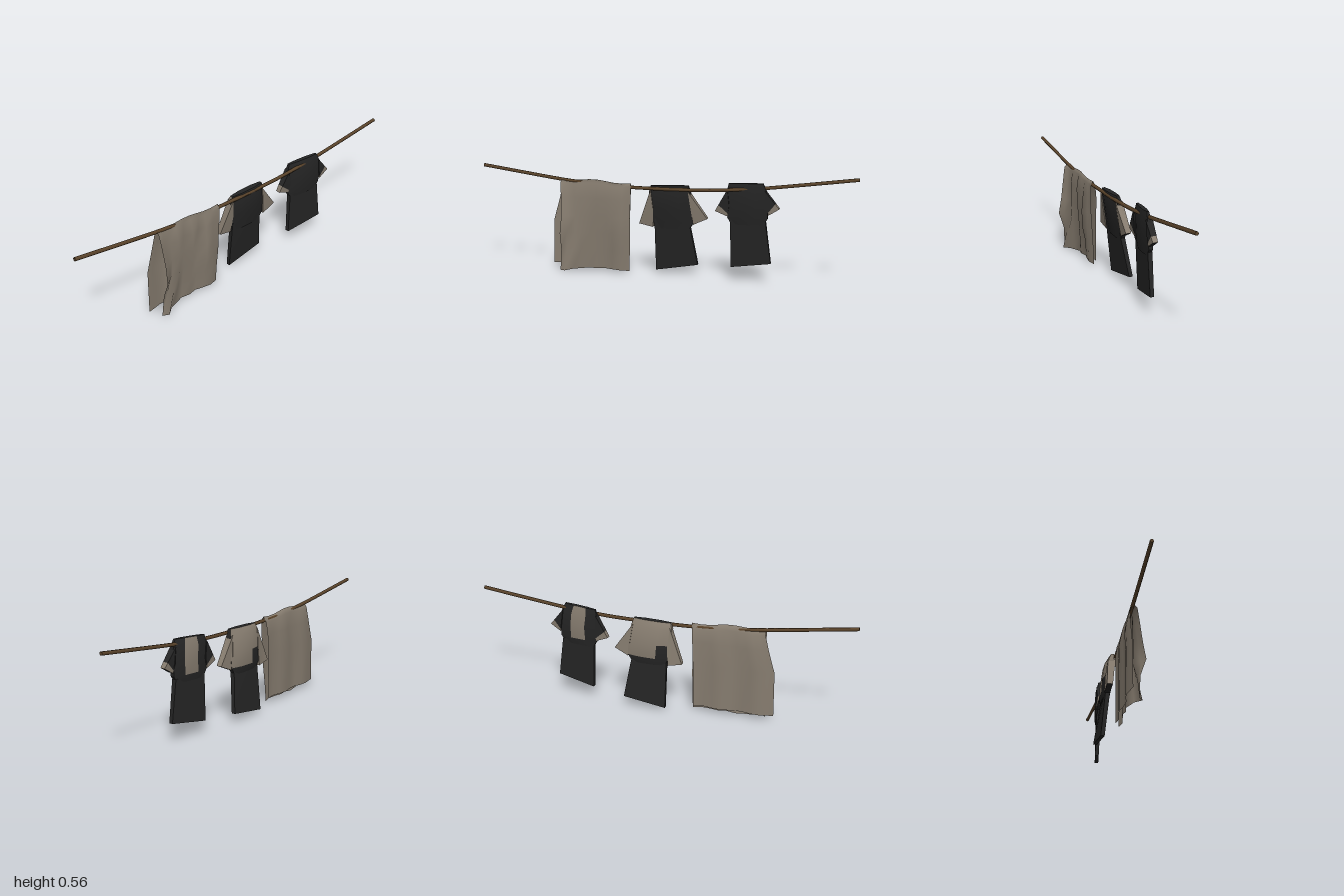
import * as THREE from 'three';
import { toCreasedNormals } from 'three/addons/utils/BufferGeometryUtils.js';

const mat = (name, color, side = THREE.DoubleSide) => {
  const m = new THREE.MeshStandardMaterial({ color, side });
  m.name = name;
  return m;
};

// Ring outlines: [position along the section line, sideways offset in half thicknesses]
const BODY = [[0, 0.5], [0.3, 1], [0.7, 1], [1, 0.5], [1, -0.5], [0.7, -1], [0.3, -1], [0, -0.5]];
const FLAT = [[0, 1], [1, 1], [1, -1], [0, -1]];

// Closed loft through sections [start, end, thickness]; colourOf(row, face) gives 0 or 1
function loft(sections, ring, colourOf = () => 0) {
  const n = ring.length, pos = [], index = [];
  const g = new THREE.BufferGeometry();
  for (const [a, b, t] of sections) {
    for (const [s, d] of ring) {
      pos.push(a[0] + (b[0] - a[0]) * s + d * t / 2, a[1] + (b[1] - a[1]) * s, a[2] + (b[2] - a[2]) * s);
    }
  }
  const add = (tri, colour) => {
    g.addGroup(index.length, tri.length, colour);
    index.push(...tri);
  };
  for (let i = 0; i < sections.length - 1; i++) {
    for (let j = 0; j < n; j++) {
      const a = i * n + j, b = i * n + (j + 1) % n;
      add([a, a + n, b, b, a + n, b + n], colourOf(i, j));
    }
  }
  const last = (sections.length - 1) * n;
  for (let j = 1; j < n - 1; j++) {
    add([0, j, j + 1], colourOf(-1, j));
    add([last, last + j + 1, last + j], colourOf(sections.length, j));
  }
  g.setAttribute('position', new THREE.Float32BufferAttribute(pos, 3));
  g.setIndex(index);
  return toCreasedNormals(g, 0.6);
}

// Cloth draped over the line: rows run from the front hem, over the top, to the back hem
function sheetGeometry() {
  const u = [0, 0.12, 0.25, 0.36, 0.48, 0.6, 0.72, 0.82, 0.92, 1];
  // y, z at both side edges, x of each column
  const rows = [
    [0.012, 0.18, 0.56, [0, 0.012, 0.005, -0.005, 0.005, -0.005, 0.01, 0.02, 0.052, 0.032]],
    [0.12, 0.175, 0.55, [0.005, 0.02, 0.015, 0, 0.015, 0, 0.02, 0.035, 0.03, 0.04]],
    [0.21, 0.17, 0.545, [0.012, 0.025, 0.035, 0.005, 0.022, 0.005, 0.03, 0.02, 0.05, 0.07]],
    [0.30, 0.17, 0.54, [0.018, 0.024, 0.038, 0.012, 0.03, 0.01, 0.035, 0.02, 0.04, 0.056]],
    [0.40, 0.165, 0.545, [0.02, 0.022, 0.03, 0.018, 0.034, 0.015, 0.034, 0.02, 0.026, 0.042]],
    [0.475, 0.165, 0.55, [0.02, 0.02, 0.02, 0.022, 0.022, 0.02, 0.022, 0.02, 0.022, 0.03]],
    [0.492, 0.165, 0.55, [0.008, 0.008, 0.008, 0.008, 0.008, 0.008, 0.008, 0.008, 0.008, 0.012]],
    [0.465, 0.17, 0.55, Array(10).fill(-0.006)],
    [0.39, 0.175, 0.57, u.map((s) => -0.014 + 0.006 * Math.sin(s * 14))],
    [0.27, 0.18, 0.605, u.map((s) => -0.014 + 0.007 * Math.sin(s * 14))],
    [0.03, 0.185, 0.61, u.map((s) => -0.014 + 0.008 * Math.sin(s * 14))],
  ];
  const pos = [], index = [], n = u.length;
  rows.forEach(([y, z0, z1, xs], r) => u.forEach((s, c) => {
    const hem = r === 0 ? 0.01 * Math.sin(s * Math.PI) - 0.012 * s : 0;
    const sag = y > 0.46 ? 0.012 * (s - 0.5) - 0.006 * Math.sin(s * 9) : 0;
    pos.push(xs[c], y + hem + sag, z0 + (z1 - z0) * s);
    if (r && c) {
      const a = (r - 1) * n + c - 1, b = a + n;
      index.push(a, b, a + 1, a + 1, b, b + 1);
    }
  }));
  const g = new THREE.BufferGeometry();
  g.setAttribute('position', new THREE.Float32BufferAttribute(pos, 3));
  g.setIndex(index);
  g.computeVertexNormals();
  return g;
}

export function createModel() {
  const model = new THREE.Group();
  model.name = 'clothesline';
  const rope = mat('rope brown', 0x5c452c);
  const linen = mat('linen', 0x877d70);
  const black = mat('black cloth', 0x252525);

  const put = (parent, name, geometry, material) => {
    const m = new THREE.Mesh(geometry, material);
    m.name = name;
    parent.add(m);
    return m;
  };

  // Sagging line with closed ends
  const half = [[1, 0.552], [0.55, 0.492], [0.3, 0.47], [0.12, 0.464]];
  const points = [...half, ...half.map(([z, y]) => [-z, y]).reverse()]
    .map(([z, y]) => new THREE.Vector3(0.008, y, z));
  const line = new THREE.CatmullRomCurve3(points, false, 'catmullrom', 0.3);
  put(model, 'line', new THREE.TubeGeometry(line, 40, 0.0095, 6), rope);
  for (const z of [1, -1]) {
    put(model, 'lineEnd', new THREE.CircleGeometry(0.0095, 6), rope).position.set(0.008, 0.552, z);
  }

  put(model, 'sheet', sheetGeometry(), linen);

  // Middle outfit: black front, linen back and sleeves
  const middle = new THREE.Group();
  middle.name = 'middleOutfit';
  model.add(middle);
  put(middle, 'shirtBody', loft([
    [[-0.008, 0.478, 0.06], [-0.005, 0.485, -0.14], 0.03],
    [[-0.015, 0.445, 0.07], [-0.01, 0.45, -0.15], 0.055],
    [[-0.025, 0.36, 0.062], [-0.02, 0.36, -0.165], 0.058],
    [[-0.033, 0.285, 0.055], [-0.03, 0.29, -0.165], 0.048],
    [[-0.033, 0.25, 0.035], [-0.03, 0.25, -0.14], 0.035],
  ], BODY, (i, j) => (j === 7 && i < 2) || (j > 3 && i >= 0 && i < 3 && !(i === 2 && j === 6)) ? 1 : 0),
  [black, linen]);
  put(middle, 'leftSleeve', loft([
    [[-0.012, 0.455, 0.06], [-0.025, 0.35, 0.05], 0.04],
    [[-0.033, 0.27, 0.13], [-0.035, 0.255, 0.055], 0.03],
  ], FLAT, (i) => i === 2 ? 1 : 0), [linen, black]);
  put(middle, 'rightSleeve', loft([
    [[-0.01, 0.455, -0.14], [-0.02, 0.35, -0.155], 0.04],
    [[-0.02, 0.315, -0.24], [-0.025, 0.28, -0.165], 0.03],
  ], FLAT, (i) => i === 2 ? 1 : 0), [linen, black]);
  put(middle, 'trousers', loft([
    [[-0.027, 0.3, 0.045], [-0.024, 0.3, -0.14], 0.024],
    [[-0.056, 0.018, 0.045], [-0.062, 0.057, -0.18], 0.02],
  ], FLAT), [black]);

  // Rear outfit: black with a linen strip on the back and linen cuffs
  const rear = new THREE.Group();
  rear.name = 'rearOutfit';
  model.add(rear);
  put(rear, 'shirtBody', loft([
    [[-0.015, 0.505, -0.35], [0.012, 0.515, -0.53], 0.022],
    [[-0.016, 0.465, -0.34], [0.012, 0.47, -0.55], 0.042],
    [[-0.016, 0.4, -0.35], [0.01, 0.41, -0.555], 0.046],
    [[-0.016, 0.33, -0.345], [0.006, 0.335, -0.555], 0.042],
    [[-0.016, 0.295, -0.365], [0.005, 0.3, -0.53], 0.032],
  ], BODY, (i, j) => j === 5 && i >= 0 && i < 3 ? 1 : 0), [black, linen]);
  const sleeve = (name, top, low, topEnd, lowEnd) => {
    const mix = (a, b) => a.map((v, k) => v + (b[k] - v) * 0.72);
    put(rear, name, loft([
      [top, low, 0.036],
      [mix(top, topEnd), mix(low, lowEnd), 0.03],
      [topEnd, lowEnd, 0.026],
    ], FLAT, (i) => i === 1 ? 1 : 0), [black, linen]);
  };
  sleeve('leftSleeve', [-0.015, 0.475, -0.345], [-0.015, 0.39, -0.355], [-0.018, 0.36, -0.28], [-0.018, 0.335, -0.345]);
  sleeve('rightSleeve', [0.01, 0.48, -0.54], [0.008, 0.4, -0.55], [0.012, 0.39, -0.615], [0.01, 0.355, -0.56]);
  put(rear, 'trousers', loft([
    [[-0.015, 0.32, -0.36], [0.005, 0.32, -0.545], 0.024],
    [[-0.024, 0.068, -0.365], [0.005, 0.105, -0.575], 0.02],
  ], FLAT), [black]);

  return model;
}
